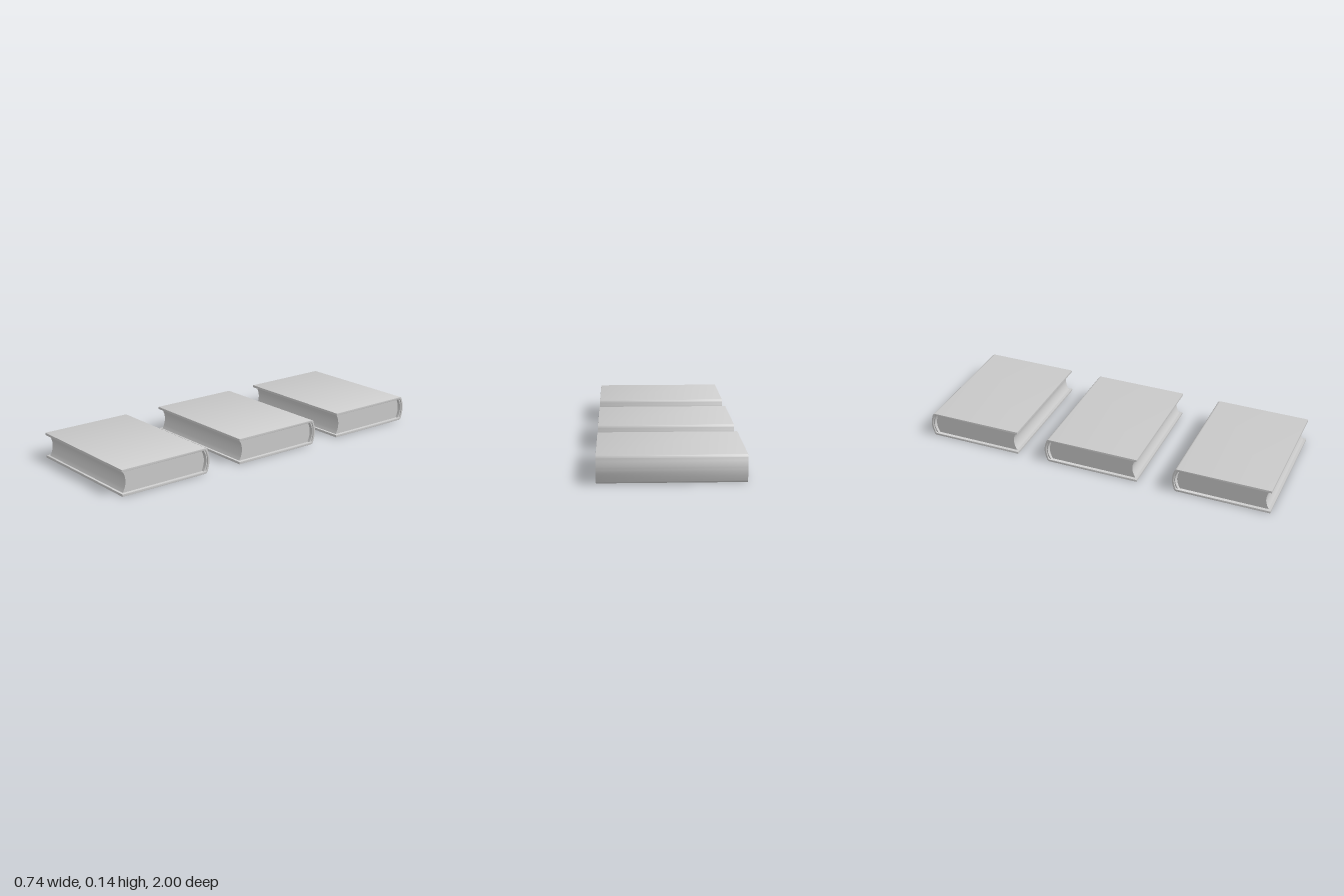
import * as THREE from 'three';
import { toCreasedNormals } from 'three/addons/utils/BufferGeometryUtils.js';

const LENGTH = 0.545, HEIGHT = 0.142, BOARD = 0.013, MID = HEIGHT / 2;
const material = new THREE.MeshStandardMaterial({ color: 0xcccccc });

// Extrude a side profile (x = distance from the fore edge, y = height) across the book
function acrossBook(name, shape, halfWidth, bevel = 0) {
  const geometry = new THREE.ExtrudeGeometry(shape, {
    depth: 2 * (halfWidth - bevel), curveSegments: 12,
    bevelEnabled: bevel > 0, bevelThickness: bevel, bevelSize: bevel, bevelOffset: -bevel, bevelSegments: 2,
  });
  geometry.translate(0, 0, -(halfWidth - bevel));
  geometry.rotateY(Math.PI / 2);
  const mesh = new THREE.Mesh(toCreasedNormals(geometry, 0.6), material);
  mesh.name = name;
  return mesh;
}

// Two boards joined by a rounded spine
function coverShape() {
  const s = new THREE.Shape();
  s.moveTo(0.001, 0);
  s.lineTo(0.518, 0);
  s.quadraticCurveTo(0.531, 0.001, 0.535, 0.02);
  s.quadraticCurveTo(0.555, MID, 0.535, HEIGHT - 0.02);
  s.quadraticCurveTo(0.531, HEIGHT - 0.001, 0.518, HEIGHT);
  s.lineTo(0.001, HEIGHT);
  s.quadraticCurveTo(-0.001, HEIGHT - BOARD / 2, 0.001, HEIGHT - BOARD);
  s.lineTo(0.514, HEIGHT - BOARD);
  s.quadraticCurveTo(0.522, HEIGHT - BOARD, 0.525, HEIGHT - 0.024);
  s.quadraticCurveTo(0.543, MID, 0.525, 0.024);
  s.quadraticCurveTo(0.522, BOARD, 0.514, BOARD);
  s.lineTo(0.001, BOARD);
  s.quadraticCurveTo(-0.001, BOARD / 2, 0.001, 0);
  return s;
}

// Page block: hollow fore edge, rounded back
function pagesShape() {
  const s = new THREE.Shape();
  s.moveTo(0.014, BOARD);
  s.lineTo(0.504, BOARD);
  s.quadraticCurveTo(0.538, MID, 0.504, HEIGHT - BOARD);
  s.lineTo(0.014, HEIGHT - BOARD);
  s.quadraticCurveTo(0.050, MID, 0.014, BOARD);
  return s;
}

// Thin crescent lining inside the spine
function liningShape() {
  const s = new THREE.Shape();
  s.moveTo(0.510, BOARD);
  s.quadraticCurveTo(0.522, BOARD, 0.526, 0.024);
  s.quadraticCurveTo(0.544, MID, 0.526, HEIGHT - 0.024);
  s.quadraticCurveTo(0.522, HEIGHT - BOARD, 0.510, HEIGHT - BOARD);
  s.quadraticCurveTo(0.548, MID, 0.510, BOARD);
  return s;
}

function createBook() {
  const book = new THREE.Group();
  book.add(
    acrossBook('cover', coverShape(), 0.37, 0.0015),
    acrossBook('pages', pagesShape(), 0.352),
    acrossBook('spineLining', liningShape(), 0.363),
  );
  return book;
}

export function createModel() {
  const model = new THREE.Group();
  model.name = 'books';
  // Three identical books in a row, spines to the back
  [1, LENGTH / 2 - 0.0175, LENGTH - 1].forEach((front, i) => {
    const book = createBook();
    book.name = `book${i + 1}`;
    book.position.z = front;
    model.add(book);
  });
  return model;
}
